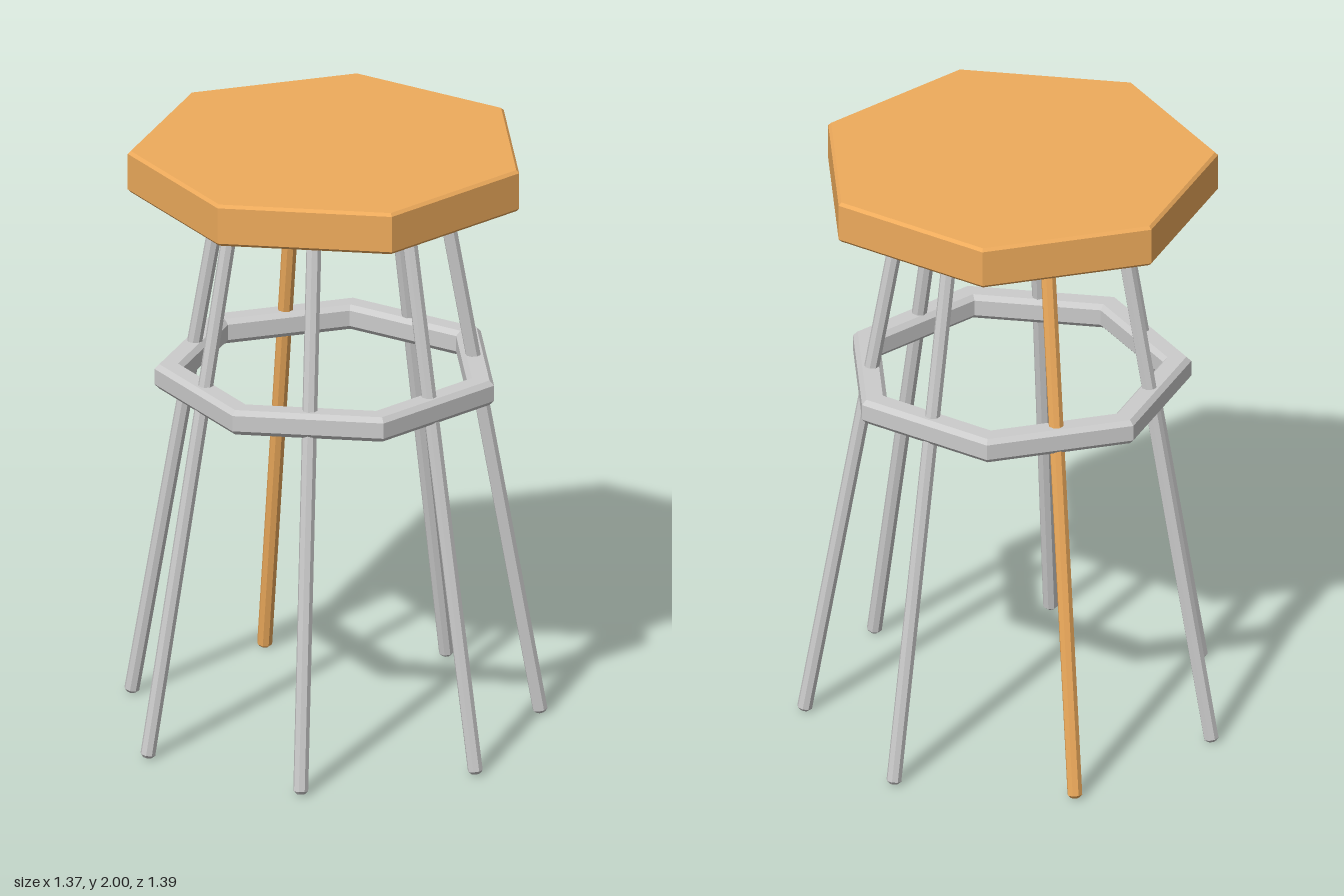
import * as THREE from 'three';

const SIDES = 7;
const grey = new THREE.MeshStandardMaterial({ color: 0xcccccc, flatShading: true });
const wood = new THREE.MeshStandardMaterial({ color: 0xeeab5c, flatShading: true });

// Revolve a profile, listed bottom to top along its outside; one corner points to +x
function revolve(name, profile, sides, material) {
  const points = profile.map(([r, y]) => new THREE.Vector2(r, y));
  const mesh = new THREE.Mesh(new THREE.LatheGeometry(points, sides, Math.PI / 2), material);
  mesh.name = name;
  return mesh;
}

// Thin rod with chamfered ends, running between two points
function rod(name, from, to, radius, material) {
  const h = from.distanceTo(to), b = 0.01;
  const mesh = revolve(name, [
    [0, 0], [radius - b, 0], [radius, b], [radius, h - b], [radius - b, h], [0, h],
  ], 8, material);
  mesh.position.copy(from);
  mesh.quaternion.setFromUnitVectors(new THREE.Vector3(0, 1, 0), to.clone().sub(from).normalize());
  return mesh;
}

export function createModel() {
  const stool = new THREE.Group();
  stool.name = 'stool';
  stool.position.x = 0.025;

  // Seven-sided seat slab with a small edge bevel
  const R = 0.658, y0 = 1.857, y1 = 2, b = 0.01;
  stool.add(revolve('seat', [
    [0, y0], [R - b, y0], [R, y0 + b], [R, y1 - b], [R - b, y1], [0, y1],
  ], SIDES, wood));

  // Seven-sided footrest ring with a chamfered square section
  const ro = 0.571, ri = 0.478, f0 = 1.17, f1 = 1.255, c = 0.016;
  stool.add(revolve('footRing', [
    [ri + c, f0], [ro - c, f0], [ro, f0 + c], [ro, f1 - c], [ro - c, f1],
    [ri + c, f1], [ri, f1 - c], [ri, f0 + c], [ri + c, f0],
  ], SIDES, grey));

  // Splayed legs under the middle of each seat edge; one is wooden
  for (let i = 0; i < SIDES; i++) {
    const a = ((i + 0.5) / SIDES) * Math.PI * 2;
    const at = (r, y) => new THREE.Vector3(r * Math.cos(a), y, -r * Math.sin(a));
    stool.add(rod('leg' + (i + 1), at(0.688, 0.004), at(0.356, 1.89), 0.025, i === 1 ? wood : grey));
  }

  const model = new THREE.Group();
  model.add(stool);
  return model;
}
